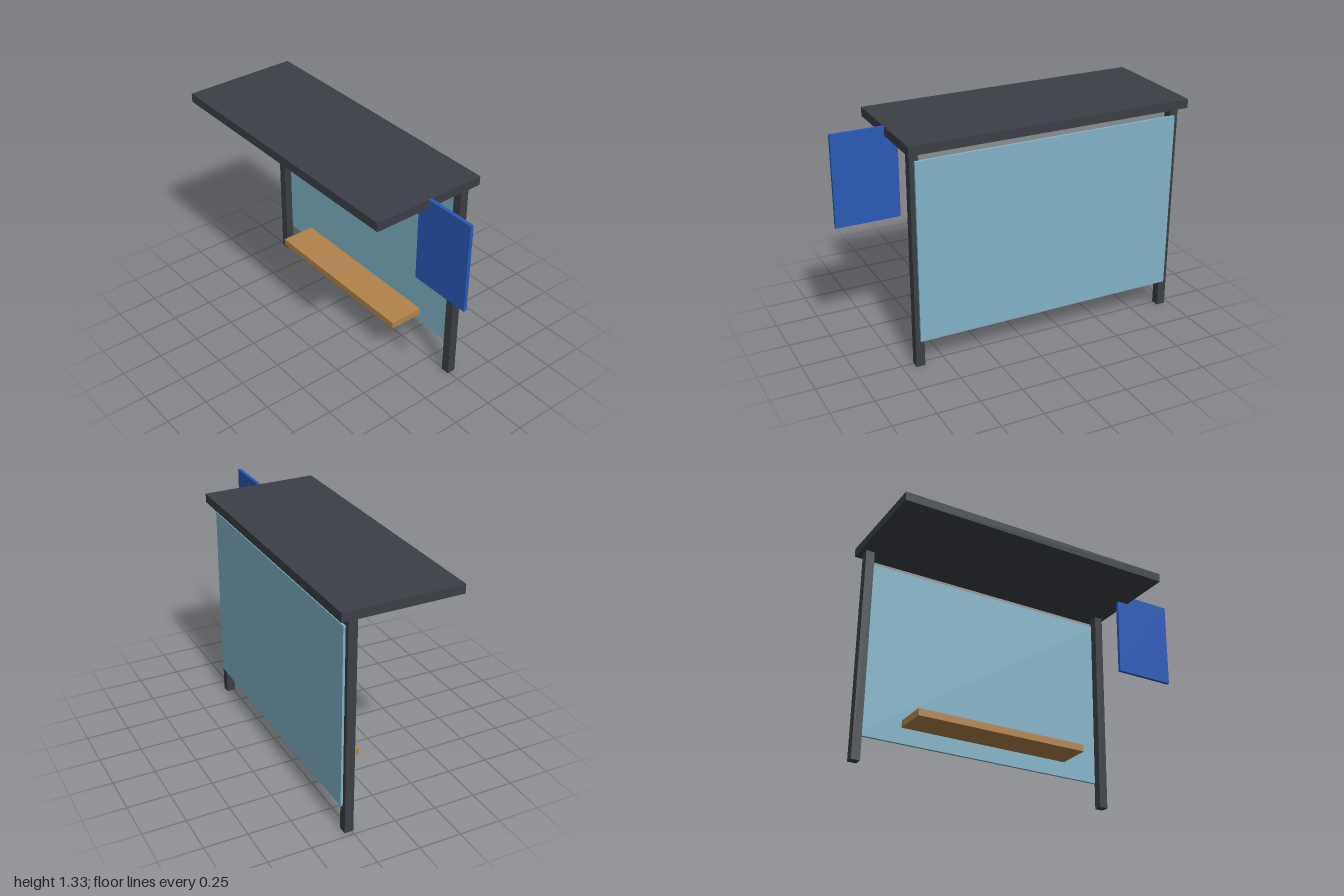
import * as THREE from 'three';

const flat = (name, color) => {
  const m = new THREE.MeshStandardMaterial({ color });
  m.name = name;
  return m;
};

export function createModel() {
  const darkMetal = flat('dark metal', 0x3b4046);
  const glass = flat('pale blue glass', 0x81b3c8);
  const wood = flat('bench wood', 0xb3834b);
  const blue = flat('sign blue', 0x2a5ab8);

  const shelter = new THREE.Group();
  shelter.name = 'busShelter';

  // Adds a box spanning the given [min, max] ranges
  const addBox = (name, material, [x0, x1], [y0, y1], [z0, z1]) => {
    const mesh = new THREE.Mesh(new THREE.BoxGeometry(x1 - x0, y1 - y0, z1 - z0), material);
    mesh.position.set((x0 + x1) / 2, (y0 + y1) / 2, (z0 + z1) / 2);
    mesh.name = name;
    shelter.add(mesh);
  };

  // Flat roof, cantilevered forward from two rear posts
  addBox('roof', darkMetal, [-1, 0.7], [1.28, 1.333], [-0.346, 0.346]);
  for (const [name, x] of [['rightPost', -0.946], ['leftPost', 0.65]]) {
    addBox(name, darkMetal, [x - 0.026, x + 0.026], [0, 1.28], [-0.292, -0.24]);
  }

  // Glass back panel fixed behind the posts
  addBox('backPanel', glass, [-0.946, 0.65], [0.162, 1.228], [-0.305, -0.289]);

  // Bench plank in front of the panel
  addBox('bench', wood, [-0.68, 0.386], [0.246, 0.288], [-0.266, -0.053]);

  // Sign board at the left end, just below flush with the roof top
  addBox('signBoard', blue, [0.627, 1], [0.8, 1.3325], [-0.01, 0.01]);

  return shelter;
}
